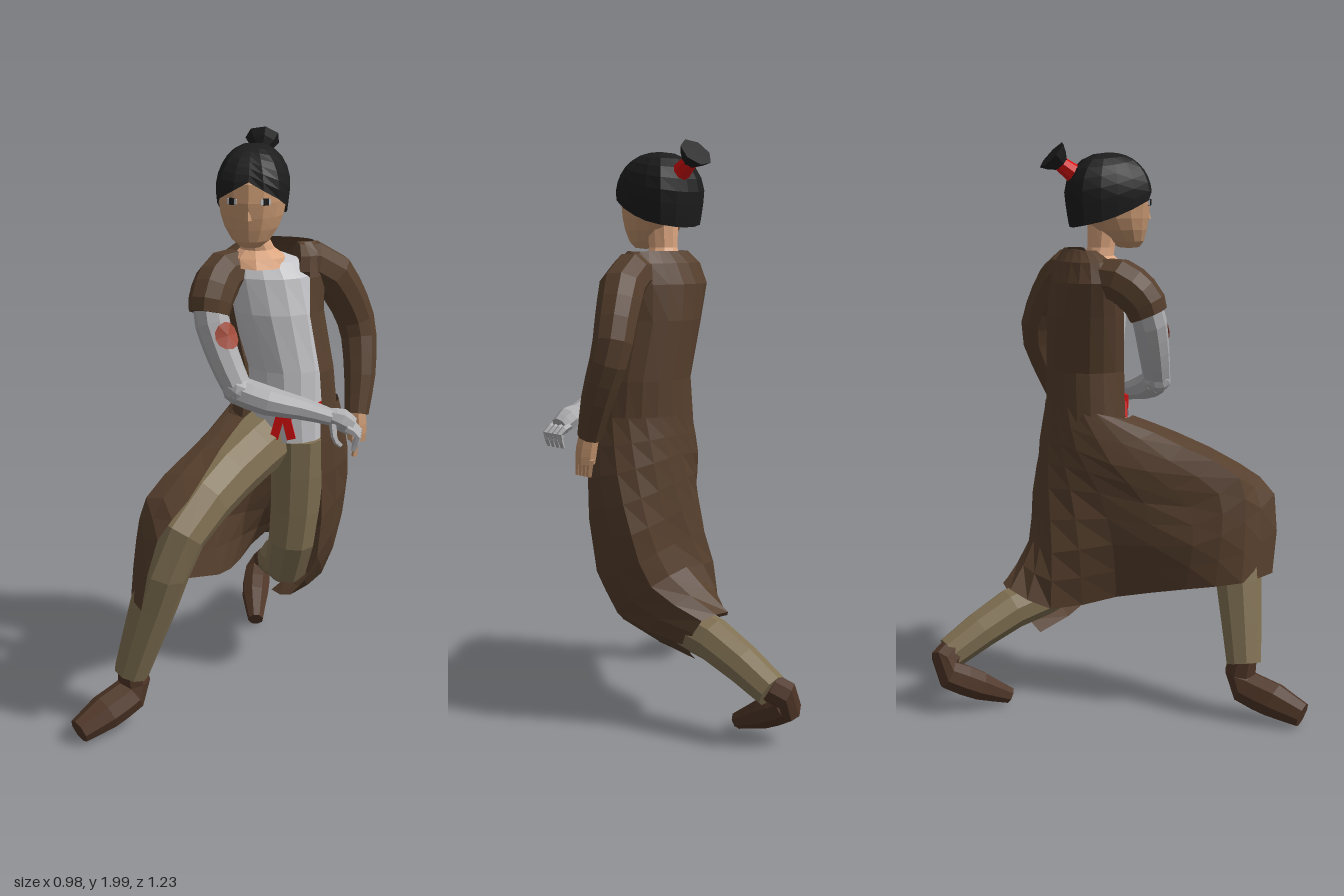
import * as THREE from 'three';

const mat = (name, color, open = false) => {
  const m = new THREE.MeshStandardMaterial({ color, flatShading: true });
  m.name = name;
  if (open) m.side = THREE.DoubleSide;
  return m;
};
const V = (x, y, z) => new THREE.Vector3(x, y, z);

// Surface through rows of points; closed rows wrap round
function sheet(rows, closed) {
  const n = rows[0].length, pos = [], idx = [];
  rows.forEach(r => r.forEach(p => pos.push(p.x, p.y, p.z)));
  for (let i = 0; i < rows.length - 1; i++) {
    for (let j = 0; j < (closed ? n : n - 1); j++) {
      const k = (j + 1) % n;
      const a = i * n + j, b = i * n + k, c = a + n, d = b + n;
      idx.push(a, b, c, b, d, c);
    }
  }
  const g = new THREE.BufferGeometry();
  g.setAttribute('position', new THREE.Float32BufferAttribute(pos, 3));
  g.setIndex(idx);
  const flat = g.toNonIndexed();
  flat.computeVertexNormals();
  return flat;
}

// Twice as many points along a smooth curve, and rows swapped for columns
const refine = pts => new THREE.CatmullRomCurve3(pts, false, 'centripetal').getPoints((pts.length - 1) * 2);
const swap = rows => rows[0].map((_, j) => rows.map(r => r[j]));

// Upright loft of ellipses [y, cx, cz, halfWidth, halfDepth], from angle a0 to a1 (0 = front)
function loft(sections, sides, a0 = 0, a1 = Math.PI * 2) {
  const closed = a1 - a0 > 6.28;
  const count = closed ? sides : sides + 1;
  return sheet(sections.map(([y, cx, cz, w, d]) => Array.from({ length: count }, (_, j) => {
    const a = a0 + (a1 - a0) * j / sides;
    return V(cx + w * Math.sin(a), y, cz + d * Math.cos(a));
  })), closed);
}

// Capped round limb through [x, y, z, radius]
function limb(pts, sides = 9) {
  const curve = new THREE.CatmullRomCurve3(pts.map(p => V(p[0], p[1], p[2])), false, 'centripetal');
  const spans = pts.length - 1, n = spans * 2, rows = [];
  const frames = curve.computeFrenetFrames(n, false);
  for (let i = 0; i <= n; i++) {
    const t = i / n, f = curve.getUtoTmapping(t) * spans;
    const k = Math.min(Math.floor(f), spans - 1);
    const r = THREE.MathUtils.lerp(pts[k][3], pts[k + 1][3], f - k);
    const c = curve.getPointAt(t);
    const ring = Array.from({ length: sides }, (_, j) => {
      const a = j / sides * Math.PI * 2;
      return c.clone().addScaledVector(frames.normals[i], r * Math.cos(a))
        .addScaledVector(frames.binormals[i], r * Math.sin(a));
    });
    const cap = ring.map(() => c.clone());
    if (i === 0) rows.push(cap);
    rows.push(ring);
    if (i === n) rows.push(cap);
  }
  return sheet(rows, true);
}

export function createModel() {
  const group = new THREE.Group();
  group.name = 'kneelingFigure';
  const coat = mat('coat brown', 0x563f2d, true);
  const cloth = mat('shirt grey', 0xc4c4c8, true);
  const pants = mat('trouser khaki', 0x817153);
  const shoe = mat('shoe brown', 0x4f3627);
  const skin = mat('skin light', 0xdca680);
  const faceSkin = mat('face tan', 0xc4956f);
  const hairMat = mat('hair black', 0x1d1d1d, true);
  const red = mat('sash red', 0xd81010, true);
  const metal = mat('arm grey', 0xaeaeb1);
  const mark = mat('arm mark red', 0xa24a38, true);
  const add = (name, geo, m) => {
    const mesh = new THREE.Mesh(geo, m);
    mesh.name = name;
    group.add(mesh);
    return mesh;
  };

  // Legs and shoes
  add('rightTrouserLeg', limb([[.14, .95, .0, .11], [.0, .87, .23, .105], [-.13, .73, .44, .092],
    [-.21, .5, .44, .085], [-.305, .2, .43, .062]]), pants);
  add('leftTrouserLeg', limb([[.23, .95, .02, .1], [.225, .68, .01, .09], [.195, .44, -.03, .08],
    [.13, .32, -.33, .075], [.088, .2, -.54, .06]]), pants);
  add('rightShoe', limb([[-.305, .22, .43, .05], [-.3, .13, .425, .062], [-.38, .085, .51, .064],
    [-.458, .048, .59, .044]], 8), shoe);
  add('leftShoe', limb([[.085, .21, -.53, .05], [.035, .165, -.585, .05], [.03, .1, -.47, .058],
    [.045, .035, -.335, .03]], 8), shoe);

  // Shirt with sash
  add('shirt', loft([[.95, .2, .01, .12, .115], [1.05, .19, .01, .13, .12], [1.2, .185, 0, .135, .125],
    [1.4, .14, 0, .15, .125], [1.52, .115, -.005, .15, .11], [1.57, .1, -.01, .125, .085],
    [1.6, .08, 0, .06, .05]], 14), cloth);
  add('sash', loft([[1.055, .19, .01, .136, .127], [1.09, .19, .01, .138, .129]], 14), red);
  add('sashKnot', new THREE.BoxGeometry(.05, .05, .022), red).position.set(.19, 1.07, .138);
  for (const s of [-1, 1]) {
    const tail = add('sashTail', new THREE.BoxGeometry(.03, .1, .009), red);
    tail.position.set(.185 + s * .018, 1.02, .138);
    tail.rotation.z = s * .25;
  }

  // Coat body, open at the front
  add('coatBody', loft([[1.03, .18, 0, .185, .15], [1.2, .18, 0, .168, .15], [1.4, .14, -.01, .17, .145],
    [1.52, .125, -.02, .185, .125], [1.59, .135, -.025, .17, .095], [1.63, .145, -.035, .125, .055]],
  14, .85, Math.PI * 2 - .85), coat);

  // Coat skirt: each row runs from right front edge round the back to left front edge
  const skirt = [
    [[.05, 1.04, .13], [-.01, 1.04, .08], [0, 1.06, -.02], [.06, 1.08, -.11], [.17, 1.08, -.15],
      [.28, 1.08, -.13], [.36, 1.08, -.05], [.36, 1.08, .05], [.31, 1.06, .11]],
    [[-.01, .98, .28], [-.13, .95, .26], [-.13, .87, .13], [.01, .93, -.09], [.15, .95, -.16],
      [.27, .93, -.16], [.38, .9, -.1], [.4, .87, .03], [.32, .83, .12]],
    [[-.09, .87, .49], [-.24, .85, .43], [-.2, .75, .26], [-.04, .78, -.02], [.1, .78, -.17],
      [.24, .74, -.18], [.37, .7, -.16], [.39, .65, 0], [.31, .52, .105]],
    [[-.175, .77, .59], [-.275, .7, .44], [-.24, .62, .26], [-.07, .6, .02], [.02, .56, -.18],
      [.17, .57, -.21], [.31, .52, -.19], [.32, .4, -.02], [.21, .325, .02]],
    [[-.24, .5, .56], [-.3, .49, .42], [-.22, .46, .24], [-.05, .4, .04], [.0, .36, -.19],
      [.08, .42, -.32], [.2, .41, -.32], [.205, .31, -.26], [.12, .235, -.2]],
  ].map(r => refine(r.map(p => V(...p))));
  add('coatSkirt', sheet(swap(swap(skirt).map(refine)), false), coat);

  // Sleeves
  add('leftSleeve', limb([[.21, 1.55, -.03, .075], [.3, 1.54, -.055, .08], [.38, 1.42, -.105, .071],
    [.42, 1.31, -.125, .066], [.435, 1.16, -.075, .057], [.43, 1.02, -.02, .043]]), coat);
  add('rightSleeve', limb([[.03, 1.53, .0, .072], [-.03, 1.525, .06, .08], [-.06, 1.46, .13, .078],
    [-.065, 1.41, .15, .07]]), coat);

  // Left hand
  add('leftHand', limb([[.43, 1.04, -.02, .034], [.435, .97, -.005, .037], [.435, .93, .0, .033]], 7), faceSkin);
  for (let i = 0; i < 4; i++) {
    const z = -.028 + i * .02;
    add('leftFinger', limb([[.435, .945, z, .014], [.43, .885, z + .015, .01]], 5), faceSkin);
  }
  add('leftThumb', limb([[.425, .99, .015, .013], [.425, .935, .042, .01]], 5), faceSkin);

  // Right arm bent across the waist
  add('rightUpperArm', limb([[-.06, 1.48, .12, .055], [-.06, 1.41, .15, .062], [-.01, 1.27, .19, .056],
    [.035, 1.18, .215, .05]]), metal);
  add('rightElbow', new THREE.IcosahedronGeometry(.054, 1), metal).position.set(.04, 1.17, .215);
  add('rightForearm', limb([[.03, 1.17, .215, .05], [.13, 1.135, .215, .052], [.26, 1.1, .19, .038],
    [.35, 1.07, .175, .029]]), metal);
  add('rightPalm', limb([[.34, 1.075, .175, .028], [.38, 1.06, .165, .042], [.42, 1.035, .16, .034]], 8), metal);
  for (let i = 0; i < 4; i++) {
    const z = .125 + i * .026;
    add('rightFinger', limb([[.405, 1.04, z, .013], [.445, 1.015, z + .004, .012],
      [.43, .965, z + .008, .008]], 5), metal);
  }
  add('rightThumb', limb([[.36, 1.05, .19, .014], [.37, 1.0, .21, .011], [.39, .98, .21, .008]], 5), metal);

  // Round mark on the upper arm: a disc bent round it
  const disc = new THREE.CircleGeometry(.047, 12);
  const dp = disc.attributes.position;
  for (let i = 0; i < dp.count; i++) {
    const a = dp.getX(i) / .066 + .7;
    dp.setXYZ(i, .066 * Math.sin(a), dp.getY(i), .066 * Math.cos(a));
  }
  disc.computeVertexNormals();
  const patch = add('armMark', disc, mark);
  patch.position.set(-.029, 1.33, .175);
  patch.quaternion.setFromUnitVectors(V(0, 1, 0), V(-.055, .15, -.04).normalize());

  // Neck and head
  add('neck', loft([[1.555, .09, .03, .09, .09], [1.585, .085, .02, .095, .075], [1.61, .08, .012, .06, .055],
    [1.64, .075, .02, .05, .05], [1.74, .072, .03, .055, .06]], 10), skin);
  add('head', loft([[1.634, .07, .12, 0, 0], [1.638, .07, .12, .035, .037], [1.66, .07, .107, .064, .066],
    [1.7, .07, .085, .091, .098], [1.74, .07, .07, .106, .12], [1.79, .07, .06, .114, .135],
    [1.85, .07, .05, .114, .138], [1.9, .07, .045, .098, .115], [1.93, .07, .04, 0, 0]], 14), faceSkin);
  add('nose', new THREE.ConeGeometry(.012, .04, 4), faceSkin).position.set(.07, 1.755, .19);
  for (const s of [-1, 1]) {
    const eye = new THREE.Group();
    eye.name = 'eye';
    const white = new THREE.Mesh(new THREE.BoxGeometry(.034, .018, .006), cloth);
    white.name = 'eyeWhite';
    const iris = new THREE.Mesh(new THREE.BoxGeometry(.018, .022, .009), hairMat);
    iris.name = 'iris';
    eye.add(white, iris);
    eye.position.set(.07 + s * .055, 1.795, .178);
    eye.rotation.y = s * .45;
    group.add(eye);
  }

  // Bowl of hair, lower at the nape than over the forehead
  const rows = [];
  for (let i = 8; i >= 0; i--) {
    rows.push(Array.from({ length: 16 }, (_, j) => {
      const a = j / 16 * Math.PI * 2, c = Math.cos(a), s = Math.sin(a);
      const th = (i / 8) * (1.3 + 1.15 * Math.pow((1 - c) / 2, .55));
      const box = Math.pow(c ** 4 + s ** 4, -.2);
      const r = box * (th < Math.PI / 2 ? Math.pow(Math.sin(th), .9) : 1 - .13 * (th - Math.PI / 2));
      return V(.07 + .121 * r * s, 1.82 + .145 * Math.cos(th), .043 + .148 * r * c);
    }));
  }
  add('hair', sheet(rows, true), hairMat);

  // Tied top tail
  add('hairTie', limb([[.08, 1.88, -.06, .037], [.08, 1.93, -.13, .026]], 8), red);
  add('hairTail', limb([[.08, 1.922, -.118, .024], [.08, 1.956, -.155, .06]], 7), hairMat);

  return group;
}
